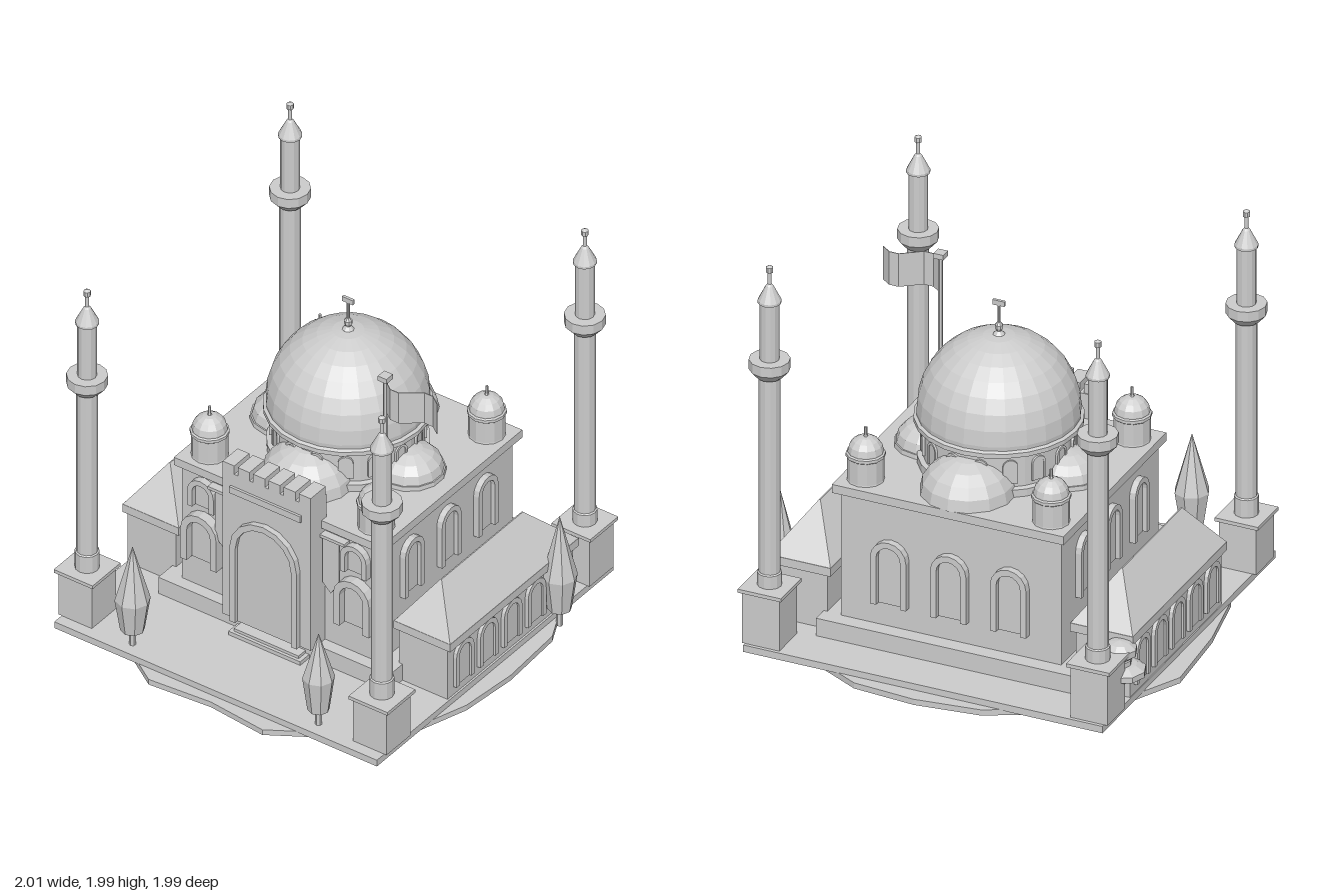
import * as THREE from 'three';

const stone = new THREE.MeshStandardMaterial({ color: 0xcccccc, flatShading: true });
stone.name = 'pale stone';
const CX = -0.01, CZ = -0.115; // centre of the hall

export function createModel() {
  const model = new THREE.Group();
  model.name = 'domedHall';

  const add = (name, geo, x = 0, y = 0, z = 0, parent = model) => {
    const m = new THREE.Mesh(geo, stone);
    m.name = name;
    m.position.set(x, y, z);
    parent.add(m);
    return m;
  };
  // box given by its limits
  const box = (name, x0, x1, y0, y1, z0, z1, parent = model) =>
    add(name, new THREE.BoxGeometry(x1 - x0, y1 - y0, z1 - z0), (x0 + x1) / 2, (y0 + y1) / 2, (z0 + z1) / 2, parent);
  // turned part from [radius, height] pairs, bottom to top
  const turned = (name, pts, sides, x, z, parent = model, y = 0) =>
    add(name, new THREE.LatheGeometry(pts.map(p => new THREE.Vector2(p[0], p[1])), sides), x, y, z, parent);
  // dome profile
  const domePts = (r, y, h, n) => Array.from({ length: n + 1 }, (_, i) => {
    const a = (i / n) * Math.PI / 2;
    return [i === n ? 0 : r * Math.cos(a), y + h * Math.sin(a)];
  });

  const archPath = (path, hw, y0, top) => {
    const spring = top - hw;
    path.moveTo(-hw, y0);
    path.lineTo(hw, y0);
    for (let i = 0; i <= 8; i++) {
      const a = i * Math.PI / 8;
      path.lineTo(hw * Math.cos(a), spring + hw * Math.sin(a));
    }
    path.closePath();
    return path;
  };
  // arched frame standing out from a wall; angle turns it around y
  const archFrame = (name, hw, t, y0, y1, depth, x, z, angle) => {
    const s = new THREE.Shape();
    const spring = y1 - hw, inner = hw - t;
    s.moveTo(-hw, y0);
    s.lineTo(-inner, y0);
    for (let i = 0; i <= 8; i++) {
      const a = Math.PI - i * Math.PI / 8;
      s.lineTo(inner * Math.cos(a), spring + inner * Math.sin(a));
    }
    s.lineTo(inner, y0);
    s.lineTo(hw, y0);
    for (let i = 0; i <= 8; i++) {
      const a = i * Math.PI / 8;
      s.lineTo(hw * Math.cos(a), spring + hw * Math.sin(a));
    }
    add(name, new THREE.ExtrudeGeometry(s, { depth, bevelEnabled: false }), x, 0, z).rotation.y = angle;
    // pane inside the frame
    const p = archPath(new THREE.Shape(), inner, y0, y1 - t);
    add(name + 'Pane', new THREE.ExtrudeGeometry(p, { depth: 0.008, bevelEnabled: false }), x, 0, z).rotation.y = angle;
  };

  // uneven ground and paved court
  const rim = [[0, -1], [.31, -.975], [.65, -.8], [.86, -.56], [.96, -.35], [.98, 0], [.95, .3], [.85, .6], [.62, .8], [.31, .99],
    [0, .955], [-.33, .98], [-.6, .8], [-.82, .62], [-.9, .45], [-.97, .1], [-1, -.3], [-.85, -.6], [-.64, -.79], [-.32, -.96]];
  const ground = new THREE.ExtrudeGeometry(new THREE.Shape(rim.map(p => new THREE.Vector2(p[0], -p[1]))), { depth: 0.029, bevelEnabled: false });
  ground.rotateX(-Math.PI / 2);
  add('ground', ground, 0, 0.004, 0);
  box('court', -.905, .89, .03, .065, -.92, .91);
  box('lowerStep', -.21, .19, 0, .085, .45, .53);
  box('upperStep', -.19, .17, 0.002, .1, .45, .515);

  // main hall
  box('plinth', -.65, .63, .065, .155, -.7, .46);
  box('hallWalls', -.56, .54, .155, .795, -.625, .4);
  box('cornice', -.587, .57, .795, .838, -.66, .427);

  // windows on the sides, back and front
  for (const i of [-1, 0, 1]) {
    archFrame('sideWindow', .075, .027, .43, .73, .03, .54, CZ + i * .285, Math.PI / 2);
    archFrame('sideWindow', .075, .027, .43, .73, .03, -.56, CZ + i * .285, -Math.PI / 2);
    archFrame('backWindow', .09, .03, .27, .6, .035, CX + i * .3, -.625, Math.PI);
  }
  for (const s of [-1, 1]) {
    archFrame('frontLowerWindow', .1, .035, .31, .58, .05, CX + s * .425, .4, 0);
    archFrame('frontUpperWindow', .073, .027, .61, .77, .035, CX + s * .425, .4, 0);
    // pointed hanging beside the portal
    const b = new THREE.Shape();
    [[-.045, .76], [-.045, .5], [0, .455], [.045, .53], [.045, .76]].forEach(([x, y], i) => (i ? b.lineTo(x, y) : b.moveTo(x, y)));
    add('hanging', new THREE.ExtrudeGeometry(b, { depth: .008, bevelEnabled: false }), CX + s * .3, 0, .425);
    box('hangingRail', CX + s * .31 - .07, CX + s * .31 + .07, .752, .768, .4, .44);
  }

  // portal
  box('portal', -.255, .235, .155, .965, .39, .512);
  archFrame('portalArch', .187, .032, .155, .76, .028, CX, .512, 0);
  box('portalPanel', -.21, .185, .86, .895, .5, .524);
  for (let i = 0; i < 6; i++) {
    const x = -.255 + i * .085;
    box('merlon', x, x + .065, .965, 1.012, .395, .512);
  }

  // great dome on its drum
  turned('drum', [[.372, .83], [.372, .875], [.348, .88], [.348, 1.045], [.388, 1.05], [.388, 1.072], [.372, 1.08]], 24, CX, -.12);
  turned('greatDome', [[.372, 1.07], ...domePts(.375, 1.1, .385, 8)], 24, CX, -.12);
  for (let i = 0; i < 16; i++) {
    const a = (i + .5) * Math.PI / 8;
    archFrame('drumWindow', .035, .012, .9, 1.02, .012, CX + Math.sin(a) * .344, -.12 + Math.cos(a) * .344, a);
  }
  turned('domeFinial', [[.035, 1.475], [.012, 1.5], [.02, 1.515], [.02, 1.53], [.008, 1.545], [.007, 1.63], [0, 1.63]], 8, CX, -.12);
  box('finialBar', -.04, .02, 1.63, 1.655, -.127, -.113);

  // half domes around the drum
  for (const s of [-1, 1]) {
    turned('endHalfDome', domePts(.222, .838, .18, 5), 14, CX, -.13 + s * .315);
    turned('sideHalfDome', [[.168, .83], [.165, .86], ...domePts(.158, .86, .11, 4)], 14, CX + s * .343, -.118);
  }

  // corner turrets
  for (const x of [-.472, .455]) for (const z of [-.545, .31]) {
    turned('turret', [[.088, .83], [.085, .845], [.085, .955], [.091, .96], [.091, .975], [.082, .98], ...domePts(.082, .985, .075, 4)], 12, x, z);
    turned('turretFinial', [[.014, 1.05], [.007, 1.068], [.007, 1.105], [0, 1.105]], 6, x, z);
  }

  // four towers; the rear pair is taller
  for (const x of [-.83, .81]) for (const z of [-.81, .76]) {
    const back = z < 0, d = back ? .105 : 0, top = back ? .345 : .32;
    const tower = new THREE.Group();
    tower.name = 'tower';
    tower.position.set(x, 0, z);
    model.add(tower);
    box('towerBase', -.093, .093, .065, top - .015, -.093, .093, tower);
    box('towerBaseCap', -.108, .108, top - .018, top, -.108, .108, tower);
    turned('towerShaft', [[.057, top], [.057, .41], [.05, .415], [.05, 1.31 + d], [.06, 1.31 + d], [.095, 1.35 + d], [.095, 1.4 + d], [.045, 1.4 + d], [.045, 1.69 + d]], 12, 0, 0, tower);
    turned('towerSpire', [[.045, 1.685 + d], [.055, 1.69 + d], [.055, 1.702 + d], [.018, 1.775 + d], [.009, 1.785 + d], [.009, 1.845 + d], [0, 1.845 + d]], 12, 0, 0, tower);
    turned('towerFinial', [[0, 1.838 + d], [.017, 1.845 + d], [.017, 1.87 + d], [0, 1.88 + d]], 8, 0, 0, tower);
  }

  // side wings with hipped roofs
  for (const s of [-1, 1]) {
    const x = CX + s * .755;
    box('wingWalls', x - .135, x + .135, .065, .35, -.62, .35);
    box('wingEaves', x - .157, x + .157, .345, .388, -.635, .36);
    const roof = new THREE.BoxGeometry(.314, .214, .995);
    const p = roof.attributes.position;
    for (let i = 0; i < p.count; i++) if (p.getY(i) > 0) { // draw the top in to a ridge
      p.setX(i, Math.sign(p.getX(i)) * .003);
      p.setZ(i, p.getZ(i) > 0 ? .35 : -.28);
    }
    add('wingRoof', roof, x, .493, -.1375);
    for (let i = -2; i <= 2; i++)
      archFrame('wingArch', .07, .025, .11, .342, .018, x + s * .135, -.135 + i * .185, s * Math.PI / 2);
  }

  // flag and pole
  turned('flagPole', [[.011, .83], [.011, 1.6], [0, 1.6]], 6, .445, .225);
  box('flagPoleTop', .42, .468, 1.6, 1.626, .2, .25);
  const upper = [], lower = [];
  for (let i = 0; i <= 6; i++) {
    const z = .225 + .04 * Math.sin(i * Math.PI / 3);
    upper.push(new THREE.Vector2(.45 + i * .047, -z + .002));
    lower.unshift(new THREE.Vector2(.45 + i * .047, -z - .002));
  }
  const flag = new THREE.ExtrudeGeometry(new THREE.Shape([...upper, ...lower]), { depth: .17, bevelEnabled: false });
  flag.rotateX(-Math.PI / 2);
  add('flag', flag, 0, 1.42, 0);

  // slender trees: x, z, foliage bottom, widest, tip, radius
  for (const [x, z, y0, y1, y2, r] of [[-.52, .84, .15, .32, .615, .083], [.515, .84, .15, .33, .575, .075], [.925, -.455, .115, .3, .63, .083]]) {
    turned('treeTrunk', [[.016, .02], [.016, y0 + .01]], 6, x, z);
    turned('treeFoliage', [[0, y0], [r * .68, y0], [r, y1], [0, y2]], 8, x, z);
  }

  // low layered bush behind the left wing
  turned('bushTrunk', [[.03, .02], [.03, .2]], 6, -.865, -.665);
  for (const [x, y, z, r, h] of [[-.885, .225, -.665, .115, .045], [-.83, .27, -.675, .105, .055], [-.87, .325, -.665, .085, .05]])
    add('bushFoliage', new THREE.SphereGeometry(r, 9, 5), x, y, z).scale.y = h / r;

  return model;
}
